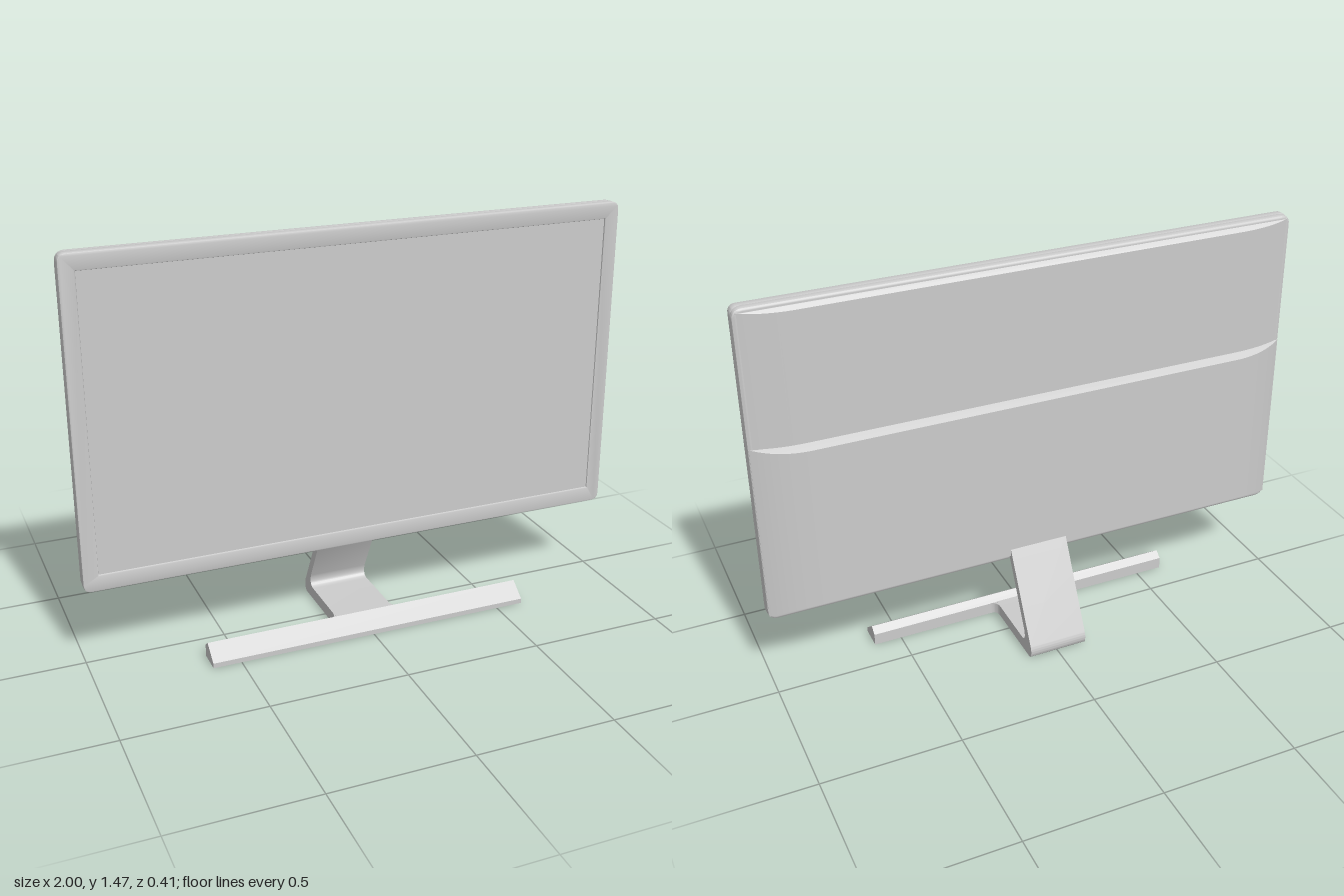
import * as THREE from 'three';
import { toCreasedNormals } from 'three/addons/utils/BufferGeometryUtils.js';

const material = new THREE.MeshStandardMaterial({ color: 0xcccccc });

function addPart(group, name, geometry) {
  const mesh = new THREE.Mesh(toCreasedNormals(geometry, 0.5), material);
  mesh.name = name;
  group.add(mesh);
  return mesh;
}

// Rectangle with rounded corners, centred on the origin
function roundedRect(w, h, r) {
  const x = w / 2, y = h / 2;
  const s = new THREE.Shape();
  s.moveTo(-x + r, -y).lineTo(x - r, -y).quadraticCurveTo(x, -y, x, -y + r);
  s.lineTo(x, y - r).quadraticCurveTo(x, y, x - r, y);
  s.lineTo(-x + r, y).quadraticCurveTo(-x, y, -x, y - r);
  s.lineTo(-x, -y + r).quadraticCurveTo(-x, -y, -x + r, -y);
  return s;
}

// Extrudes a (z, y) side profile across the given width in x
function sideExtrude(shape, width) {
  const g = new THREE.ExtrudeGeometry(shape, { depth: width, bevelEnabled: false, curveSegments: 8 });
  return g.translate(0, 0, -width / 2).rotateY(-Math.PI / 2);
}

// Back cover: plan with swept ends, sloping at the top and bottom with depth
function backShell(halfWidth, zEdge, zBack, [bottomEdge, bottomBack], [topEdge, topBack]) {
  const s = new THREE.Shape();
  s.moveTo(halfWidth, 0.025).lineTo(-halfWidth, 0.025).lineTo(-halfWidth, zEdge);
  s.quadraticCurveTo(-0.91, zBack, -0.8, zBack);
  s.lineTo(0.8, zBack);
  s.quadraticCurveTo(0.91, zBack, halfWidth, zEdge);
  const g = new THREE.ExtrudeGeometry(s, { depth: 1, bevelEnabled: false, curveSegments: 14 });
  g.rotateX(Math.PI / 2);
  const p = g.attributes.position;
  for (let i = 0; i < p.count; i++) {
    const k = THREE.MathUtils.clamp((zEdge - p.getZ(i)) / (zEdge - zBack), 0, 1);
    const top = THREE.MathUtils.lerp(topEdge, topBack, k);
    const bottom = THREE.MathUtils.lerp(bottomEdge, bottomBack, k);
    p.setY(i, THREE.MathUtils.lerp(top, bottom, -p.getY(i)));
  }
  return g;
}

export function createModel() {
  const model = new THREE.Group();
  model.name = 'monitor';
  const midY = 0.885;

  // Housing: bezel ring around the recessed screen, with a closed rear plate
  const bezel = roundedRect(1.992, 1.154, 0.025);
  bezel.holes.push(roundedRect(1.9, 1.052, 0.002));
  addPart(model, 'bezel', new THREE.ExtrudeGeometry(bezel, { depth: 0.026, bevelEnabled: true,
    bevelSize: 0.004, bevelThickness: 0.004, bevelSegments: 2, curveSegments: 6 }).translate(0, midY, 0.04));
  addPart(model, 'housing', new THREE.ExtrudeGeometry(roundedRect(1.98, 1.142, 0.025), { depth: 0.022,
    bevelEnabled: true, bevelSize: 0.01, bevelThickness: 0.008, bevelSegments: 3, curveSegments: 6 })
    .translate(0, midY, 0.023));
  addPart(model, 'screen', new THREE.BoxGeometry(1.91, 1.06, 0.012).translate(0, midY, 0.058));

  // Rear covers: shallow upper one, deeper lower one
  addPart(model, 'upperBackCover', backShell(0.99, 0.016, 0, [0.9, 0.9], [1.453, 1.438]));
  addPart(model, 'lowerBackCover', backShell(0.997, 0.015, -0.028, [0.322, 0.348], [0.98, 0.955]));

  // Stand: one bent strap forming the leaning neck and the flat base
  const strap = new THREE.Shape();
  strap.moveTo(0.13, 0.002).lineTo(-0.185, 0.002);
  strap.quadraticCurveTo(-0.205, 0.002, -0.205, 0.03);
  strap.quadraticCurveTo(-0.205, 0.042, -0.198, 0.055);
  strap.lineTo(-0.025, 0.38).lineTo(0.0, 0.36).lineTo(-0.012, 0.345).lineTo(-0.143, 0.092);
  strap.quadraticCurveTo(-0.158, 0.046, -0.12, 0.046);
  strap.lineTo(0.13, 0.046);
  addPart(model, 'standNeck', sideExtrude(strap, 0.22));

  // Front foot bar with a sloped face
  const bar = new THREE.Shape();
  bar.moveTo(0.205, 0).lineTo(0.115, 0).lineTo(0.115, 0.045).lineTo(0.142, 0.066).lineTo(0.205, 0.018);
  addPart(model, 'footBar', sideExtrude(bar, 1.205));

  // Curved fillets where the base meets the bar
  for (const side of [1, -1]) {
    const f = new THREE.Shape();
    f.moveTo(side * 0.1, 0.085).lineTo(side * 0.11, 0.085);
    f.quadraticCurveTo(side * 0.112, 0.115, side * 0.14, 0.116);
    f.lineTo(side * 0.1, 0.116);
    const g = new THREE.ExtrudeGeometry(f, { depth: 0.043, bevelEnabled: false, curveSegments: 6 });
    addPart(model, side > 0 ? 'leftFillet' : 'rightFillet', g.rotateX(Math.PI / 2).translate(0, 0.0455, 0));
  }
  return model;
}
